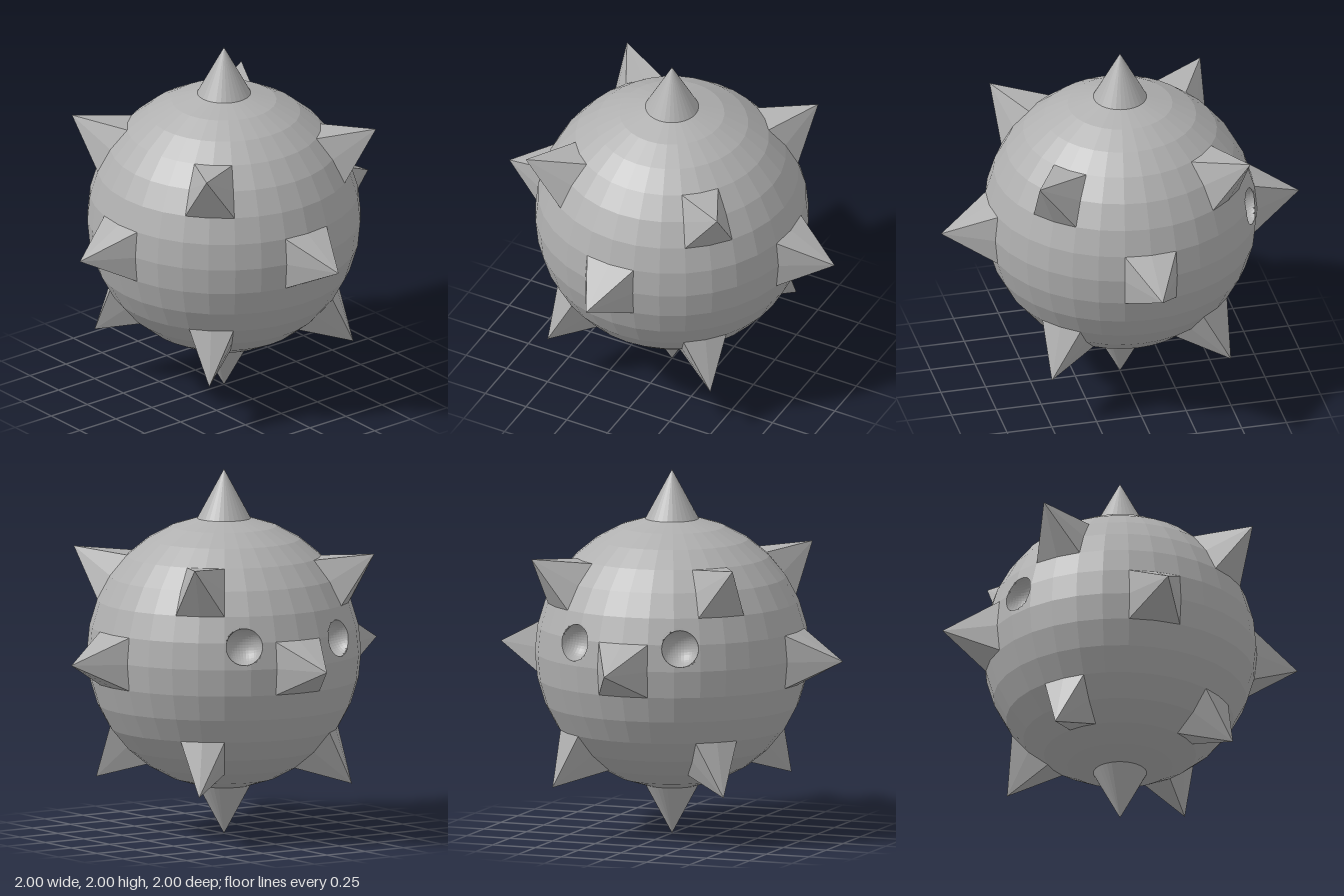
import * as THREE from 'three';

const R = 0.745, TIP = 1, ROWS = 16, COLS = 32;
const CENTRE_Y = 1;
const SOCKET_R = 0.1, FINE = 14;

// Point on the ball's latitude/longitude grid (row 0 is the top, column 0 faces +z)
function gridPoint(row, col, radius = R) {
  return new THREE.Vector3().setFromSphericalCoords(
    radius, (row * Math.PI) / ROWS, (col * 2 * Math.PI) / COLS);
}

function makeMesh(name, points, material) {
  const geometry = new THREE.BufferGeometry().setFromPoints(points);
  geometry.computeVertexNormals();
  const mesh = new THREE.Mesh(geometry, material);
  mesh.name = name;
  return mesh;
}

// Spike: a closed ring of grid points drawn out to a single tip
function makeSpike(name, ring, tip, material) {
  const points = [];
  ring.forEach((p, k) => points.push(p, ring[(k + 1) % ring.length], tip));
  return makeMesh(name, points, material);
}

// Round sockets sunk into the back
const sockets = [-1, 1].map((side) => new THREE.Vector3(side * 0.31, 0.125, -0.66).normalize());

function axisDistance(p, axis) {
  return p.clone().addScaledVector(axis, -p.dot(axis)).length();
}

// Push points inside the socket rim onto a hemispherical bowl; snap near points to the rim
function sink(p, axis) {
  const height = p.dot(axis);
  const radial = p.clone().addScaledVector(axis, -height);
  const d = radial.length();
  if (d > SOCKET_R + 0.0055) return p;
  if (d > SOCKET_R - 0.0055) {
    return radial.setLength(SOCKET_R).addScaledVector(axis, height);
  }
  const angle = (d / SOCKET_R) * Math.PI / 2;
  if (d > 1e-6) radial.setLength(SOCKET_R * Math.sin(angle));
  return radial.addScaledVector(axis, R - 0.01 - SOCKET_R * Math.cos(angle));
}

export function createModel() {
  const model = new THREE.Group();
  model.name = 'spikedBall';
  const grey = new THREE.MeshStandardMaterial({ color: 0xb0b0b0, flatShading: true });
  grey.name = 'grey';

  const ball = new THREE.Group();
  ball.name = 'ball';
  ball.position.y = CENTRE_Y;
  model.add(ball);

  // Grid positions of the pyramid spikes: four level, four upper, four lower
  const spikes = [];
  for (let k = 0; k < 4; k++) {
    spikes.push(['levelSpike', 8, 8 * k], ['upperSpike', 5, 8 * k + 4], ['lowerSpike', 12, 8 * k + 4]);
  }
  const around = [[-1, -1], [0, -1], [1, -1], [1, 0], [1, 1], [0, 1], [-1, 1], [-1, 0]];
  for (const [name, row, col] of spikes) {
    const ring = around.map(([dr, dc]) => gridPoint(row + dr, col + dc));
    ball.add(makeSpike(name, ring, gridPoint(row, col, TIP), grey));
  }

  // Cone spikes on the poles
  const topRing = [], bottomRing = [];
  for (let c = 0; c < COLS; c++) {
    topRing.push(gridPoint(1, c));
    bottomRing.unshift(gridPoint(ROWS - 1, c));
  }
  ball.add(makeSpike('topSpike', topRing, new THREE.Vector3(0, TIP, 0), grey));
  ball.add(makeSpike('bottomSpike', bottomRing, new THREE.Vector3(0, -TIP, 0), grey));

  // Faceted shell between the spikes, subdivided only around the sockets
  const underSpike = (row, col) => spikes.some(([, r, c]) =>
    (row === r || row === r - 1) && (col === c || col === (c + COLS - 1) % COLS));
  const shell = [], bowls = [[], []];
  for (let row = 1; row < ROWS - 1; row++) {
    for (let col = 0; col < COLS; col++) {
      if (underSpike(row, col)) continue;
      const a = gridPoint(row, col), b = gridPoint(row + 1, col);
      const c = gridPoint(row + 1, col + 1), d = gridPoint(row, col + 1);
      const middle = a.clone().add(c).multiplyScalar(0.5);
      const s = sockets.findIndex((axis) =>
        middle.distanceTo(axis.clone().multiplyScalar(R)) < SOCKET_R + 0.12);
      if (s < 0) {
        shell.push(a, b, c, a, c, d);
        continue;
      }
      const axis = sockets[s];
      const at = (u, v) => sink(
        a.clone().lerp(d, u / FINE).lerp(b.clone().lerp(c, u / FINE), v / FINE), axis);
      for (let u = 0; u < FINE; u++) {
        for (let v = 0; v < FINE; v++) {
          const p = at(u, v), q = at(u, v + 1), r = at(u + 1, v + 1), t = at(u + 1, v);
          for (const tri of [[p, q, r], [p, r, t]]) {
            const inside = tri.every((w) => axisDistance(w, axis) < SOCKET_R + 1e-5);
            (inside ? bowls[s] : shell).push(...tri);
          }
        }
      }
    }
  }
  ball.add(makeMesh('shell', shell, grey));
  ball.add(makeMesh('rightSocket', bowls[0], grey));
  ball.add(makeMesh('leftSocket', bowls[1], grey));
  return model;
}
